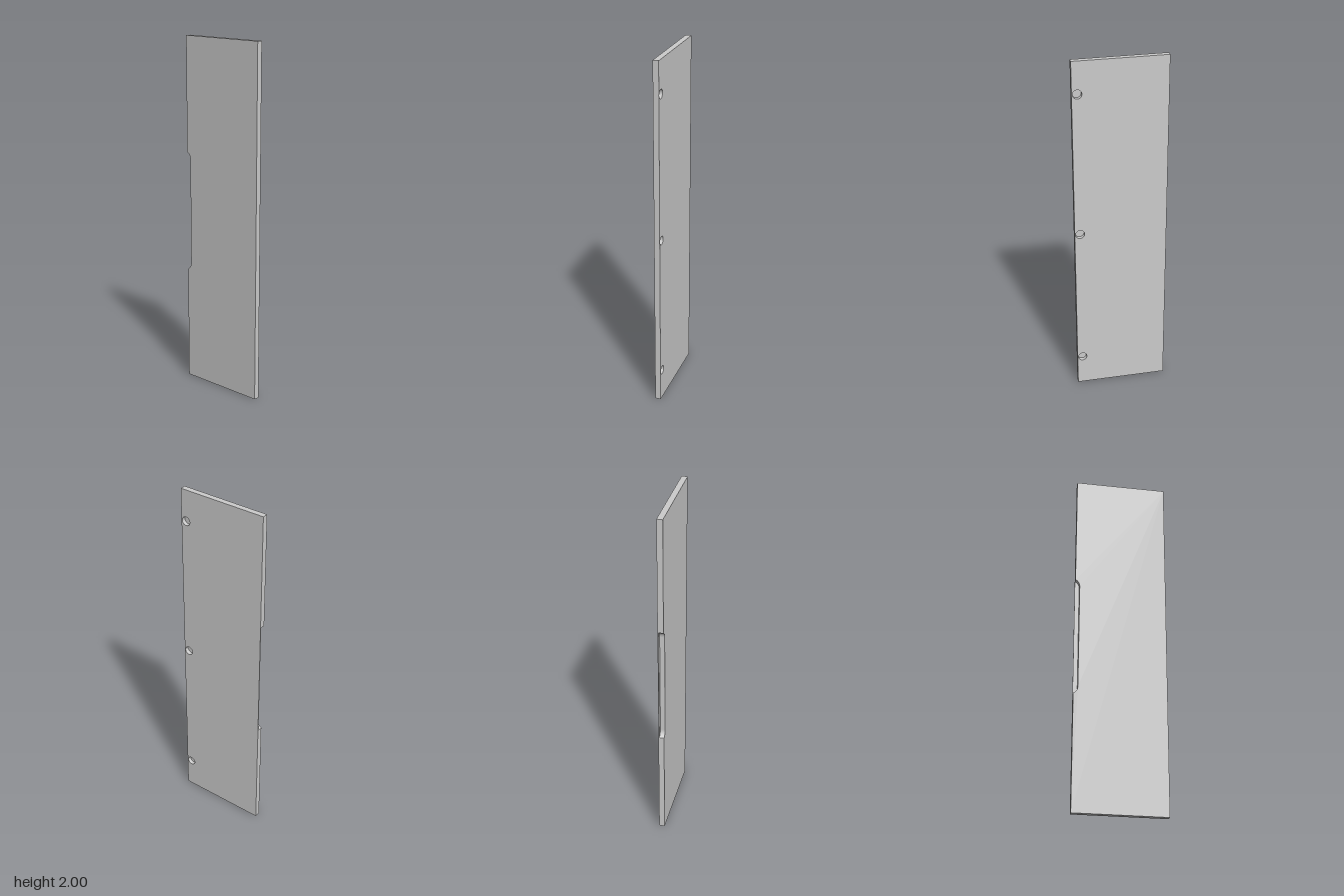
import * as THREE from 'three';

const W = 0.26, H = 2, T = 0.016;              // half width, height, half thickness
const FLOOR_Z = -0.011;                        // floor of the finger pull
const HOLE_R = 0.025, HOLE_X = W - 0.03, HOLE_Z = 0.006;
const HOLE_YS = [0.18, 1.0, 1.82];

const material = new THREE.MeshStandardMaterial({ color: 0xcccccc });
const v2 = (x, y) => new THREE.Vector2(x, y);

// Edge of the finger pull, from top to bottom, with rounded ends
function pullEdge() {
  const r = 0.0445, cx = -0.235 - r, a = 1.117, n = 10, pts = [];
  for (const [cy, from, to] of [[1.31, a, 0], [0.7, 0, -a]]) {
    for (let i = 0; i <= n; i++) {
      const t = from + (to - from) * i / n;
      pts.push(v2(cx + r * Math.cos(t), cy + r * Math.sin(t)));
    }
  }
  pts[0].x = pts[pts.length - 1].x = -W;
  return pts;
}

// Straight wall around a counter-clockwise outline, facing outward
function wallGeometry(points, z0, z1) {
  const pos = [];
  points.forEach((p, i) => {
    const q = points[(i + 1) % points.length];
    pos.push(p.x, p.y, z0, q.x, q.y, z0, q.x, q.y, z1);
    pos.push(p.x, p.y, z0, q.x, q.y, z1, p.x, p.y, z1);
  });
  const g = new THREE.BufferGeometry();
  g.setAttribute('position', new THREE.Float32BufferAttribute(pos, 3));
  g.computeVertexNormals();
  return g;
}

export function createModel() {
  const group = new THREE.Group();
  group.name = 'cabinetDoor';
  const add = (name, geometry) => {
    const mesh = new THREE.Mesh(geometry, material);
    mesh.name = name;
    group.add(mesh);
  };

  const rect = [v2(-W, 0), v2(W, 0), v2(W, H), v2(-W, H)];
  const edge = pullEdge();
  const notched = [...rect, ...edge];

  // Front face and the recessed finger pull
  add('frontFace', new THREE.ShapeGeometry(new THREE.Shape(notched)).translate(0, 0, T));
  add('fingerPullFloor', new THREE.ShapeGeometry(new THREE.Shape(edge)).translate(0, 0, FLOOR_Z));

  // Edges of the panel
  add('frontEdges', wallGeometry(notched, FLOOR_Z, T));
  add('backEdges', wallGeometry(rect, -T, FLOOR_Z));

  // Back face with hinge holes (drawn mirrored, then turned around)
  const back = new THREE.Shape(rect);
  for (const y of HOLE_YS) {
    back.holes.push(new THREE.Path().absarc(-HOLE_X, y, HOLE_R, 0, Math.PI * 2, true));
  }
  add('backFace', new THREE.ShapeGeometry(back, 16).rotateY(Math.PI).translate(0, 0, -T));

  // Blind hinge holes
  const depth = HOLE_Z + T;
  for (const y of HOLE_YS) {
    const wall = new THREE.CylinderGeometry(HOLE_R, HOLE_R, depth, 32, 1, true);
    wall.scale(-1, 1, 1);                      // turn the faces inward
    const n = wall.attributes.normal;
    for (let i = 0; i < n.count; i++) n.setXYZ(i, -n.getX(i), -n.getY(i), -n.getZ(i));
    wall.rotateX(Math.PI / 2).translate(HOLE_X, y, HOLE_Z - depth / 2);
    add('hingeHoleWall', wall);
    add('hingeHoleBottom',
      new THREE.CircleGeometry(HOLE_R, 32).rotateY(Math.PI).translate(HOLE_X, y, HOLE_Z));
  }
  return group;
}
